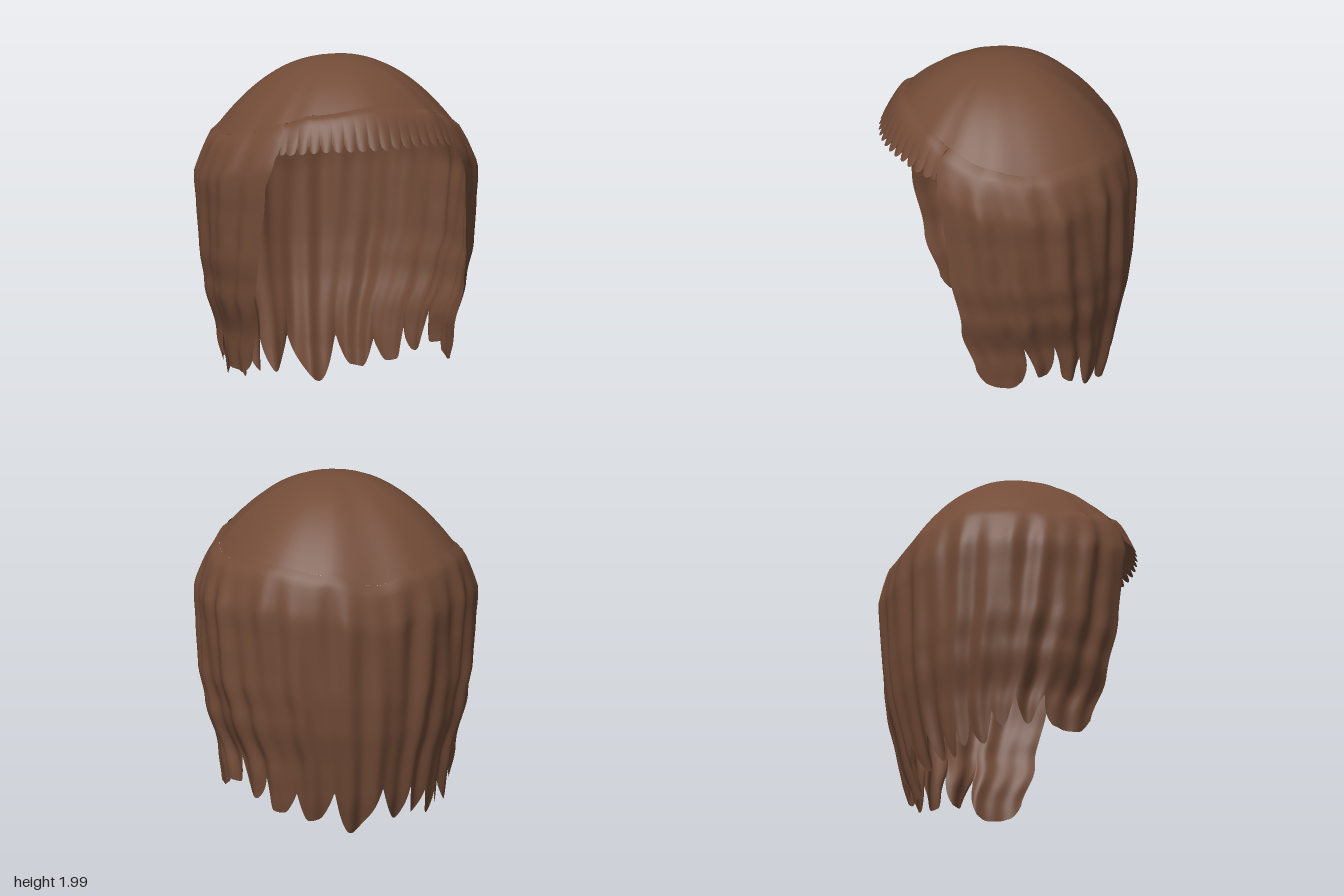
import * as THREE from 'three';
import { mergeVertices } from 'three/addons/utils/BufferGeometryUtils.js';

const RAD = Math.PI / 180;
const smooth = f => f * f * (3 - 2 * f);

// Smooth lookup in a table of [key, value] pairs with ascending keys
function lookup(table, k, ease = f => f) {
  if (k <= table[0][0]) return table[0][1];
  for (let i = 1; i < table.length; i++) {
    const [k0, v0] = table[i - 1], [k1, v1] = table[i];
    if (k <= k1) return v0 + (v1 - v0) * ease((k - k0) / (k1 - k0));
  }
  return table[table.length - 1][1];
}

// Seam between cap and hanging hair: height by angle from the front
const SEAM = [[0, 1.78], [30, 1.74], [44, 1.69], [65, 1.62], [90, 1.575], [130, 1.59], [155, 1.55], [180, 1.48]];
// Half width, back depth and face-opening angle by height
const WIDTH = [[0, 0.63], [0.2, 0.65], [0.4, 0.67], [0.7, 0.75], [0.9, 0.785], [1.15, 0.795], [1.3, 0.805], [1.5, 0.8], [1.7, 0.78]];
const BACK = [[0, 0.53], [0.2, 0.6], [0.6, 0.69], [0.8, 0.715], [1.25, 0.735], [1.6, 0.73]];
const OPENING = [[0, 70], [0.3, 68], [0.6, 60], [1, 53], [1.3, 50], [1.5, 46], [1.56, 44]];
const FRONT = 0.73;

// Lock tips and notches along the hem: degrees from the back centre, height
const HEM = [
  [-112, 0.32], [-104, 0.22], [-94, 0.23], [-86, 0.42], [-80, 0.24], [-72, 0.4], [-66, 0.22], [-60, 0.32],
  [-55, 0.12], [-47, 0.27], [-43, 0.13], [-40, 0.23], [-36, 0.08], [-32, 0.23], [-26, 0.1], [-21, 0.28],
  [-15, 0.08], [-5, 0.28], [10, 0.01], [20, 0.27], [28, 0.1], [33, 0.09], [40, 0.25], [47, 0.13], [52, 0.14],
  [57, 0.33], [63, 0.2], [67, 0.22], [72, 0.45], [78, 0.27], [83, 0.28], [87, 0.48], [92, 0.24], [98, 0.21],
  [106, 0.23], [112, 0.32],
];

// Hem height with rounded tips and sharp notches
function hem(deg) {
  for (let i = 1; i < HEM.length; i++) {
    const [a, ya] = HEM[i - 1], [b, yb] = HEM[i];
    if (deg <= b) {
      const f = (deg - a) / (b - a);
      return ya < yb ? ya + (yb - ya) * f ** 1.9 : yb + (ya - yb) * (1 - f) ** 1.9;
    }
  }
  return HEM[HEM.length - 1][1];
}

const seamY = deg => lookup(SEAM, Math.abs(deg > 180 ? 360 - deg : deg), smooth);

// Point on an oval section with separate front and back depth
function oval(deg, width, front, back, y, inset) {
  const c = Math.cos(deg * RAD);
  return [(width - inset) * Math.sin(deg * RAD), y, ((c > 0 ? front : back) - inset) * c];
}

// Point on the hanging hair: swells out from the seam, then follows the section
function hang(deg, top, y, inset) {
  const k = Math.sqrt(Math.min(1, Math.max(0, (top - y) / 0.25)));
  const mix = (a, b) => a + (b - a) * k;
  return oval(deg, mix(0.68, lookup(WIDTH, y, smooth)), mix(0.57, FRONT), mix(0.66, lookup(BACK, y)), y, inset);
}

// Surface from a rule f(u, v), u running round and v downward
function surface(f, nu, nv, flip) {
  const pos = [], index = [];
  for (let i = 0; i <= nu; i++) for (let j = 0; j <= nv; j++) pos.push(...f(i / nu, j / nv));
  for (let i = 0; i < nu; i++) for (let j = 0; j < nv; j++) {
    const a = i * (nv + 1) + j, b = a + 1, c = a + nv + 1, d = c + 1;
    if (flip) index.push(a, c, b, b, c, d);
    else index.push(a, b, c, b, d, c);
  }
  let geo = new THREE.BufferGeometry();
  geo.setAttribute('position', new THREE.Float32BufferAttribute(pos, 3));
  geo.setIndex(index);
  geo = mergeVertices(geo, 1e-5);
  geo.computeVertexNormals();
  return geo;
}

// Cap dome
function cap(thick) {
  return (u, v) => {
    const deg = u * 360, edge = seamY(deg);
    const t = thick * (1 - v ** 6);
    const p = oval(deg, 0.68 * v, 0.57 * v, 0.66 * v, 2 - (2 - edge) * v ** 2.2 - t, 0);
    p[2] += 0.04 * (1 - v);
    return p;
  };
}

// Long hair round the sides and back
function curtain(thick) {
  return (u, v) => {
    const s = u * 2 - 1;
    const topDeg = 180 + s * 136, top = seamY(topDeg);
    const y = top + (hem(-s * 112) - top) * v;
    const deg = 180 + s * (180 - lookup(OPENING, y, smooth));
    const edge = 1 - Math.abs(s) ** 14;
    // Wavy folds between the locks
    const fold = (0.011 * Math.sin(s * 41 + 0.8 * Math.sin(y * 3)) + 0.008 * Math.sin(s * 67 + 1.3 + y)
      + 0.006 * Math.sin(s * 23 + 2 * y)) * edge * Math.min(1, v * 5);
    const inset = thick * edge * Math.min(1, v * 6) * (1 - v ** 10);
    return hang(deg, top, y, inset - fold);
  };
}

// Short fringe with a toothed hem
function fringe(thick) {
  return (u, v) => {
    const s = u * 2 - 1, deg = s * 44, top = seamY(deg);
    const edge = 1 - Math.abs(s) ** 10;
    const wave = Math.abs(Math.sin(s * Math.PI * 8.5));
    const low = 1.595 - 0.045 * Math.sqrt(wave) * edge - 0.07 * Math.abs(s) ** 5;
    const inset = thick * edge * Math.min(1, v * 4) * (1 - v ** 6);
    const ridge = 0.013 * (wave - 0.5) * edge * v * v;
    const y = top + (low - top) * v;
    const p = hang(deg, top, y, inset - ridge);
    return p;
  };
}

export function createModel() {
  const group = new THREE.Group();
  group.name = 'wig';
  const hair = new THREE.MeshStandardMaterial({ color: 0x734c38 });
  hair.name = 'brown hair';

  // Each part has an outer skin and a slightly inset lining
  const parts = [['cap', cap, 96, 24], ['curtain', curtain, 420, 36], ['fringe', fringe, 204, 14]];
  for (const [name, rule, nu, nv] of parts) {
    const part = new THREE.Group();
    part.name = name;
    const outer = new THREE.Mesh(surface(rule(0), nu, nv, false), hair);
    outer.name = name + 'Outer';
    const lining = new THREE.Mesh(surface(rule(0.03), nu, nv, true), hair);
    lining.name = name + 'Lining';
    part.add(outer, lining);
    group.add(part);
  }
  return group;
}
